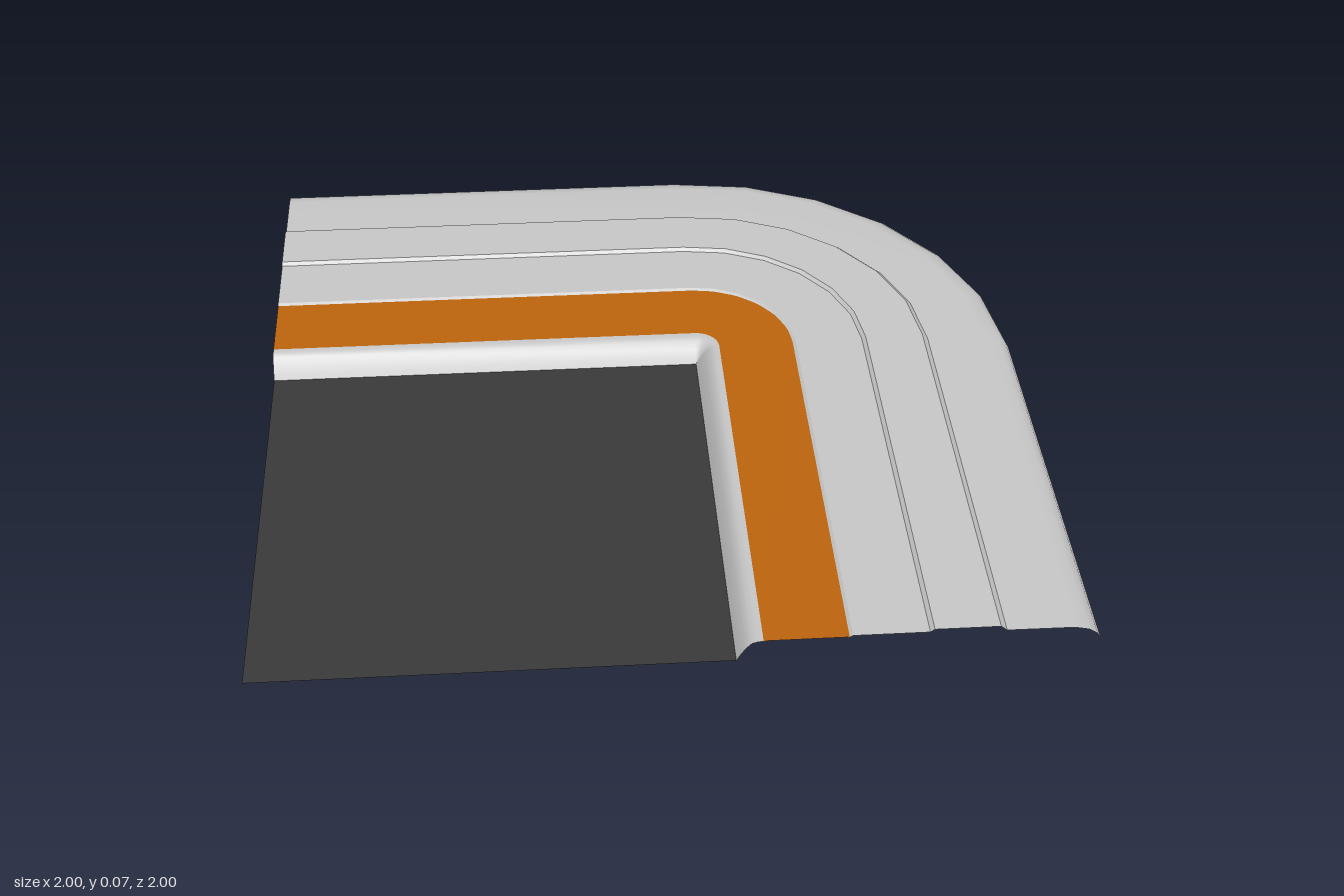
import * as THREE from 'three';

const CORNER = 0.14; // centre of the bend is (CORNER, -CORNER)

// Sweeps a profile of [radius, height] points, outermost first, around the bend
function sweep(profile, segments) {
  const positions = [];
  const index = [];
  const columns = segments + 3;
  for (const [r, y] of profile) {
    positions.push(-1, y, -CORNER - r);
    for (let i = 0; i <= segments; i++) {
      const a = (i / segments) * Math.PI / 2;
      positions.push(CORNER + r * Math.sin(a), y, -CORNER - r * Math.cos(a));
    }
    positions.push(CORNER + r, y, 1);
  }
  for (let j = 0; j < profile.length - 1; j++) {
    for (let i = 0; i < columns - 1; i++) {
      const a = j * columns + i;
      const b = a + columns;
      index.push(a, b, b + 1, a, b + 1, a + 1);
    }
  }
  const geometry = new THREE.BufferGeometry();
  geometry.setAttribute('position', new THREE.Float32BufferAttribute(positions, 3));
  geometry.setIndex(index);
  geometry.computeVertexNormals();
  return geometry;
}

export function createModel() {
  const material = (name, color) =>
    new THREE.MeshStandardMaterial({ name, color, side: THREE.DoubleSide });
  const grey = material('light grey', 0xc8c8c8);
  const orange = material('orange', 0xbd650d);
  const black = material('charcoal', 0x3a3a3a);

  const group = new THREE.Group();
  const add = (name, geometry, mat) => {
    const mesh = new THREE.Mesh(geometry, mat);
    mesh.name = name;
    group.add(mesh);
    return mesh;
  };

  // Grey bands, from the rounded outer rim inwards; separate strips keep steps crisp
  const bands = {
    outerRim: [[0.86, 0], [0.855, 0.018], [0.845, 0.035], [0.825, 0.049], [0.79, 0.057], [0.63, 0.058]],
    outerStep: [[0.63, 0.058], [0.615, 0.071]],
    raisedBand: [[0.615, 0.071], [0.46, 0.071]],
    middleStep: [[0.46, 0.071], [0.45, 0.063]],
    middleBand: [[0.45, 0.063], [0.27, 0.063]],
    innerStep: [[0.27, 0.063], [0.258, 0.056]],
  };
  for (const [name, profile] of Object.entries(bands)) add(name, sweep(profile, 6), grey);

  // Orange lane with its rounded inner lip
  add('orangeLane', sweep([[0.262, 0.059], [0.062, 0.059]], 12), orange);

  // Inner slope down to the floor
  add('innerSlope', sweep([[0.066, 0.057], [0.05, 0.057], [0.035, 0.052], [0.02, 0.035], [0.008, 0.015], [0, 0]], 6), grey);

  // Dark floor inside the bend
  const floor = add('floor', new THREE.PlaneGeometry(1 + CORNER, 1 + CORNER), black);
  floor.rotation.x = -Math.PI / 2;
  floor.position.set((CORNER - 1) / 2, 0, (1 - CORNER) / 2);

  return group;
}
